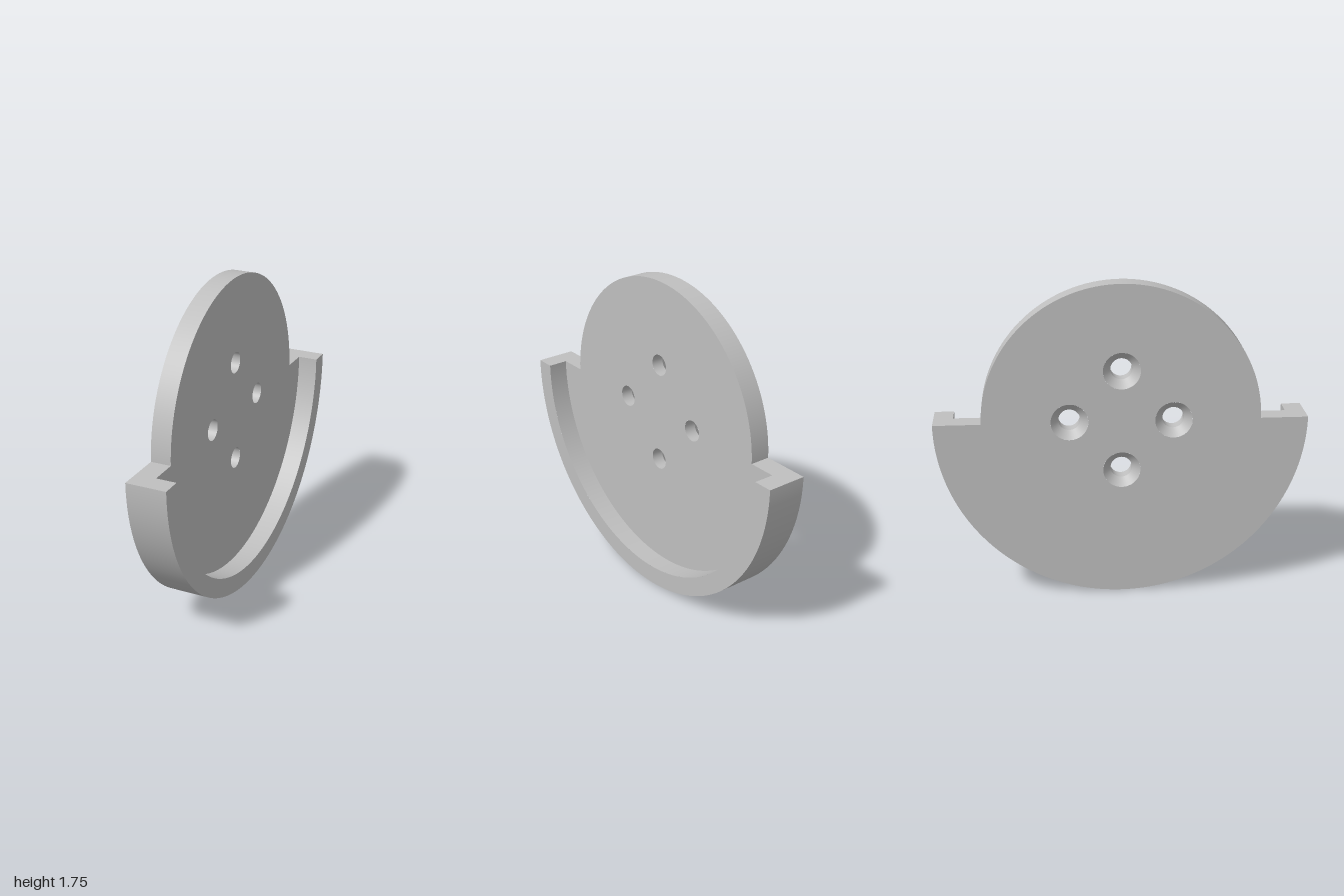
import * as THREE from 'three';
import { mergeGeometries } from 'three/addons/utils/BufferGeometryUtils.js';

const HALF = 0.11;    // half of the total thickness; the plate fills x = -HALF..0
const OUTER = 1;      // lower half radius
const INNER = 0.895;  // inside of the raised rim
const UPPER = 0.745;  // upper half radius
const HOLE = 0.058, SINK = 0.1, SINK_DEPTH = 0.044, SPREAD = 0.278;
const HOLES = [[SPREAD, 0], [0, SPREAD], [-SPREAD, 0], [0, -SPREAD]];

// Surface swept around the x axis; rising x faces outward, falling x faces inward
function band(r0, x0, r1, x1, start = 0, sweep = Math.PI * 2, segments = 64) {
  const points = [new THREE.Vector2(r0, x0), new THREE.Vector2(r1, x1)];
  return new THREE.LatheGeometry(points, segments, start, sweep).rotateZ(-Math.PI / 2);
}

// Disc outline with a lower and an upper radius, drilled with four holes
function discFace(lower, holeRadius) {
  const shape = new THREE.Shape();
  shape.moveTo(-lower, 0);
  shape.absarc(0, 0, lower, Math.PI, Math.PI * 2, false);
  shape.lineTo(UPPER, 0);
  shape.absarc(0, 0, UPPER, 0, Math.PI, false);
  for (const [u, v] of HOLES) {
    shape.holes.push(new THREE.Path().absarc(u, v, holeRadius, 0, Math.PI * 2, true));
  }
  return new THREE.ShapeGeometry(shape, 64);
}

export function createModel() {
  const model = new THREE.Group();
  model.name = 'mountingDisc';
  const grey = new THREE.MeshStandardMaterial({ color: 0xbfbfbf });
  grey.name = 'plain grey';
  const body = new THREE.Group();
  body.name = 'discBody';
  body.position.y = OUTER;
  model.add(body);

  const add = (name, ...parts) => {
    const mesh = new THREE.Mesh(mergeGeometries(parts), grey);
    mesh.name = name;
    body.add(mesh);
    return mesh;
  };

  // Flat faces and upper edge of the plate
  add('plateFaces',
    discFace(INNER, HOLE).rotateY(Math.PI / 2),
    discFace(OUTER, SINK).rotateY(-Math.PI / 2).translate(-HALF, 0, 0));
  add('upperEdge', band(UPPER, -HALF, UPPER, 0, Math.PI, Math.PI));

  // Raised half rim: outer wall, inner wall and front face
  const rimShape = new THREE.Shape();
  rimShape.moveTo(-OUTER, 0);
  rimShape.absarc(0, 0, OUTER, Math.PI, Math.PI * 2, false);
  rimShape.lineTo(INNER, 0);
  rimShape.absarc(0, 0, INNER, Math.PI * 2, Math.PI, true);
  add('rim',
    band(OUTER, -HALF, OUTER, HALF, 0, Math.PI),
    band(INNER, HALF, INNER, 0, 0, Math.PI),
    new THREE.ShapeGeometry(rimShape, 64).rotateY(Math.PI / 2).translate(HALF, 0, 0));

  // L-shaped ledges where the lower half ends
  for (const side of [1, -1]) {
    const corners = [[-HALF, UPPER], [0, UPPER], [0, INNER], [HALF, INNER], [HALF, OUTER], [-HALF, OUTER]];
    const ledge = new THREE.Shape(corners.map(([x, z]) => new THREE.Vector2(x, z * side)));
    add(side > 0 ? 'backLedge' : 'frontLedge',
      new THREE.ShapeGeometry(ledge).rotateX(-Math.PI / 2));
  }

  // Screw holes, countersunk from the flat side
  for (const [u, v] of HOLES) {
    const throat = -HALF + SINK_DEPTH;
    const hole = add('screwHole',
      band(HOLE, 0, HOLE, throat, 0, Math.PI * 2, 40),
      band(HOLE, throat, SINK, -HALF, 0, Math.PI * 2, 40));
    hole.position.set(0, v, u);
  }
  return model;
}
